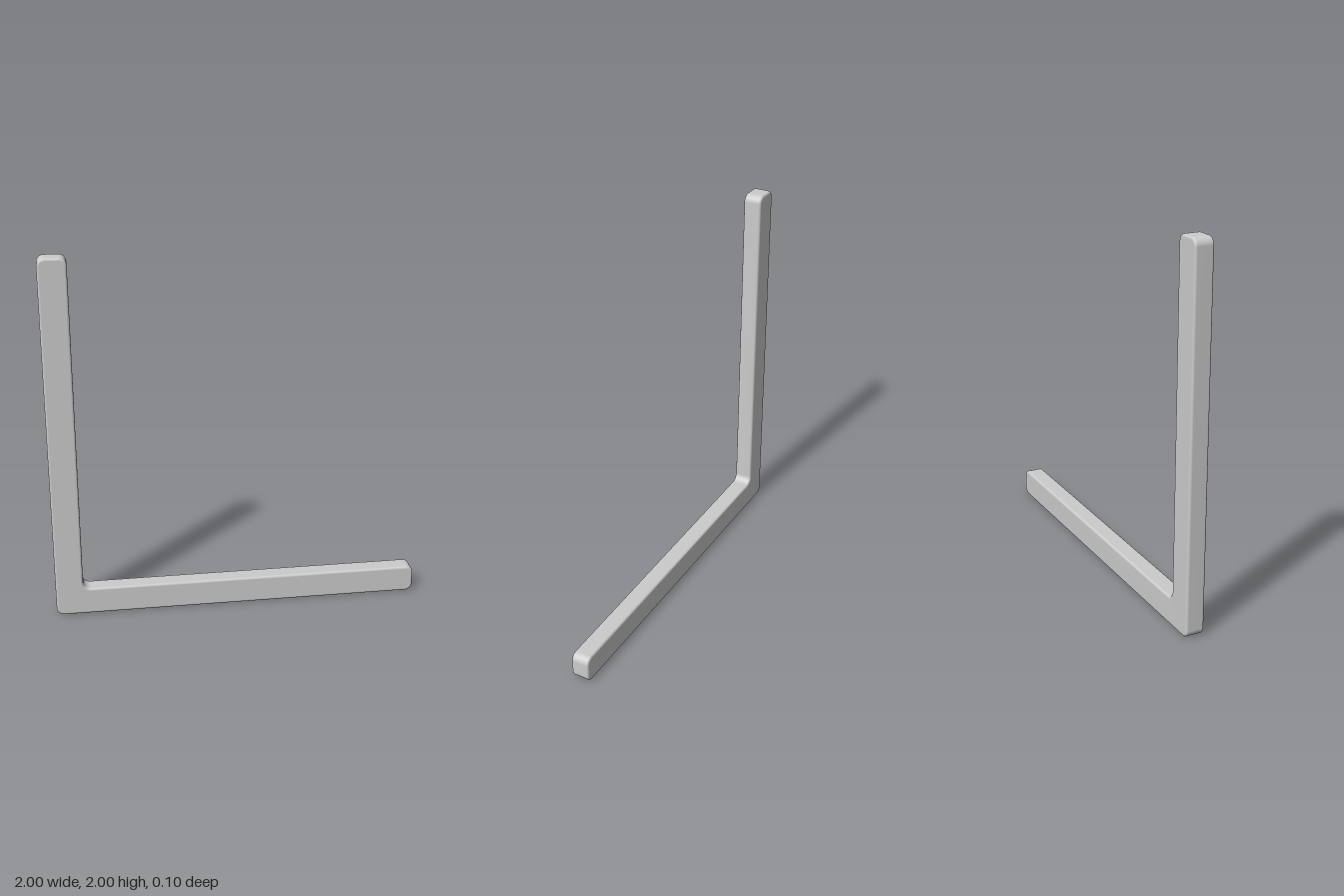
import * as THREE from 'three';
import { mergeVertices } from 'three/addons/utils/BufferGeometryUtils.js';

const WIDTH = 0.15, DEPTH = 0.1, RADIUS = 0.04, BEVEL = 0.012;

// Closed outline with every corner rounded by the same radius
function roundedOutline(corners, r) {
  const pts = corners.map(([x, y]) => new THREE.Vector2(x, y));
  const shape = new THREE.Shape();
  pts.forEach((p, i) => {
    const prev = pts[(i + pts.length - 1) % pts.length];
    const next = pts[(i + 1) % pts.length];
    const din = p.clone().sub(prev).normalize();
    const dout = next.clone().sub(p).normalize();
    const a = p.clone().addScaledVector(din, -r);
    const turn = din.cross(dout) > 0 ? 1 : -1;
    // Arc centre lies on the inner side of the turn
    const c = a.clone().add(new THREE.Vector2(-din.y, din.x).multiplyScalar(turn * r));
    const start = Math.atan2(a.y - c.y, a.x - c.x);
    if (i === 0) shape.moveTo(a.x, a.y);
    else shape.lineTo(a.x, a.y);
    shape.absarc(c.x, c.y, r, start, start + turn * Math.PI / 2, turn < 0);
  });
  shape.closePath();
  return shape;
}

export function createModel() {
  const group = new THREE.Group();
  group.name = 'cornerBracket';

  // Tall arm at the right, long arm along the ground
  const inner = -1 + WIDTH;
  const outline = roundedOutline(
    [[-1, 0], [1, 0], [1, WIDTH], [inner, WIDTH], [inner, 2], [-1, 2]], RADIUS);

  const extruded = new THREE.ExtrudeGeometry(outline, {
    depth: DEPTH - 2 * BEVEL, curveSegments: 8, bevelEnabled: true,
    bevelThickness: BEVEL, bevelSize: BEVEL, bevelOffset: -BEVEL, bevelSegments: 4,
  });
  extruded.translate(0, 0, BEVEL - DEPTH / 2);

  // Weld so the softened edges shade smoothly
  extruded.deleteAttribute('uv');
  extruded.deleteAttribute('normal');
  const geometry = mergeVertices(extruded, 1e-4);
  geometry.computeVertexNormals();

  const bracket = new THREE.Mesh(geometry, new THREE.MeshStandardMaterial({ color: 0xcccccc }));
  bracket.name = 'bracketArms';
  group.add(bracket);
  return group;
}
